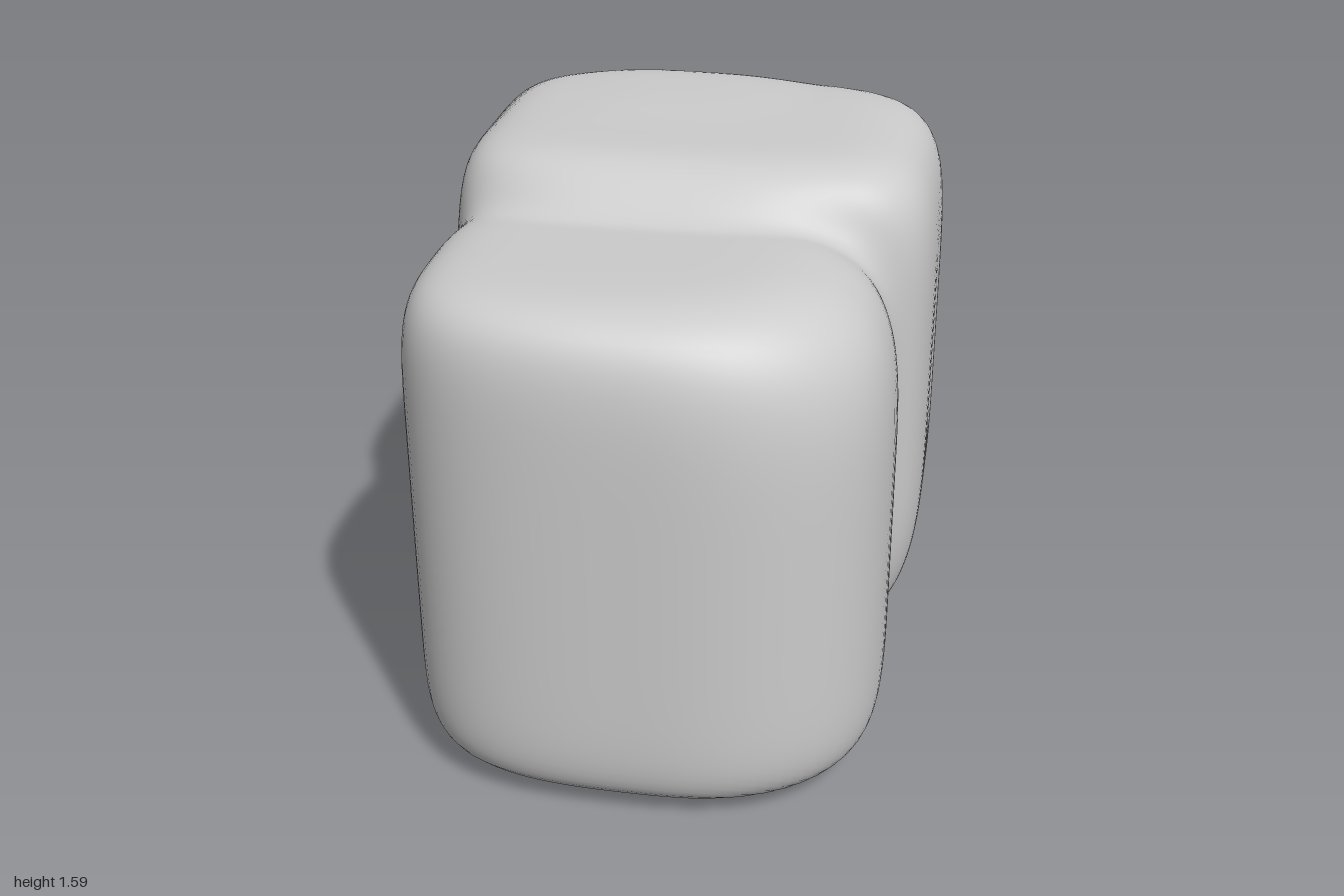
import * as THREE from 'three';

// Rounded block between two corners: p rounds the plan outline,
// qTop / qBottom round the upper and lower edges (higher is squarer);
// the left half can take its own values.
function block(x0, x1, y0, y1, z0, z1, p, qTop, qBottom, pLeft = p, qTopLeft = qTop) {
  const a = (x1 - x0) / 2, b = (y1 - y0) / 2, c = (z1 - z0) / 2;
  const cx = (x0 + x1) / 2, cy = (y0 + y1) / 2, cz = (z0 + z1) / 2;
  return (x, y, z) => {
    const u = (x - cx) / a, v = (y - cy) / b, w = (z - cz) / c;
    const side = THREE.MathUtils.smoothstep(u, -0.8, 0.8);
    const pu = THREE.MathUtils.lerp(pLeft, p, side);
    const top = THREE.MathUtils.lerp(qTopLeft, qTop, side);
    const q = THREE.MathUtils.lerp(qBottom, top, THREE.MathUtils.smoothstep(v, -0.3, 0.3));
    const plan = (Math.abs(u) ** pu + Math.abs(w) ** pu) ** (1 / pu);
    return ((plan ** q + Math.abs(v) ** q) ** (1 / q) - 1) * 0.6;
  };
}

// Smooth union of two distances
function blend(a, b, k) {
  const h = Math.max(k - Math.abs(a - b), 0) / k;
  return Math.min(a, b) - h * h * k * 0.25;
}

const front = block(-0.64, 0.625, 0.03, 1.435, 0, 0.995, 2.5, 4.5, 9, 3, 8);
const leftSide = block(-0.665, 0.1, 0.02, 1.38, -0.92, 0.82, 4, 3.5, 4);
const back = block(-0.66, 0.51, 0.01, 1.535, -0.995, 0.2, 2.9, 2.8, 4);
const crown = block(-0.655, 0.685, 0.01, 1.57, -0.67, 0.28, 4.5, 7, 4, 4.5, 9);
const ramp = block(-0.62, 0.46, 0.1, 1.5, -0.3, 0.41, 4, 5, 4);
const field = (x, y, z) => {
  const body = blend(blend(front(x, y, z), back(x, y, z), 0.05), leftSide(x, y, z), 0.04);
  return blend(blend(body, ramp(x, y, z), 0.03), crown(x, y, z), 0.08);
};

// Distance from the centre to the skin in one direction
const centre = new THREE.Vector3(-0.03, 0.75, 0.05);
function reach(d) {
  let lo = 0, hi = 1.8;
  for (let i = 0; i < 24; i++) {
    const r = (lo + hi) / 2;
    if (field(centre.x + d.x * r, centre.y + d.y * r, centre.z + d.z * r) < 0) lo = r;
    else hi = r;
  }
  return lo;
}

// Angle from straight up to the rim of the opening underneath;
// the back right corner of the opening is cut rounder than the others
function rimAngle(theta) {
  const sin = Math.sin(theta), cos = Math.cos(theta);
  const s = Math.abs(sin) / (sin > 0 ? 0.36 : 0.48), c = Math.abs(cos) / 0.75;
  const p = sin > 0 && cos < 0 ? 1.6 : 3.8;
  const radius = (s ** p + c ** p) ** (-1 / p);
  return Math.PI - Math.atan2(radius, centre.y - 0.02);
}

function shellGeometry(rows, cols) {
  const positions = [], index = [];
  const d = new THREE.Vector3();
  const add = (phi, theta) => {
    d.set(Math.sin(phi) * Math.sin(theta), Math.cos(phi), Math.sin(phi) * Math.cos(theta));
    const r = reach(d);
    positions.push(centre.x + d.x * r, centre.y + d.y * r, centre.z + d.z * r);
  };
  add(0, 0);
  for (let i = 1; i <= rows; i++) {
    for (let j = 0; j < cols; j++) {
      const theta = (j / cols) * Math.PI * 2;
      add((i / rows) * rimAngle(theta), theta);
    }
  }
  const at = (i, j) => (i === 0 ? 0 : 1 + (i - 1) * cols + (j % cols));
  for (let i = 0; i < rows; i++) {
    for (let j = 0; j < cols; j++) {
      index.push(at(i, j), at(i + 1, j), at(i + 1, j + 1));
      if (i > 0) index.push(at(i, j), at(i + 1, j + 1), at(i, j + 1));
    }
  }
  const geometry = new THREE.BufferGeometry();
  geometry.setAttribute('position', new THREE.Float32BufferAttribute(positions, 3));
  geometry.setIndex(index);
  geometry.computeVertexNormals();
  return geometry;
}

export function createModel() {
  const group = new THREE.Group();
  // Hollow skin, open underneath
  const material = new THREE.MeshStandardMaterial({ color: 0xcccccc, side: THREE.DoubleSide });
  const shell = new THREE.Mesh(shellGeometry(100, 180), material);
  shell.name = 'hollowShell';
  group.add(shell);
  return group;
}
